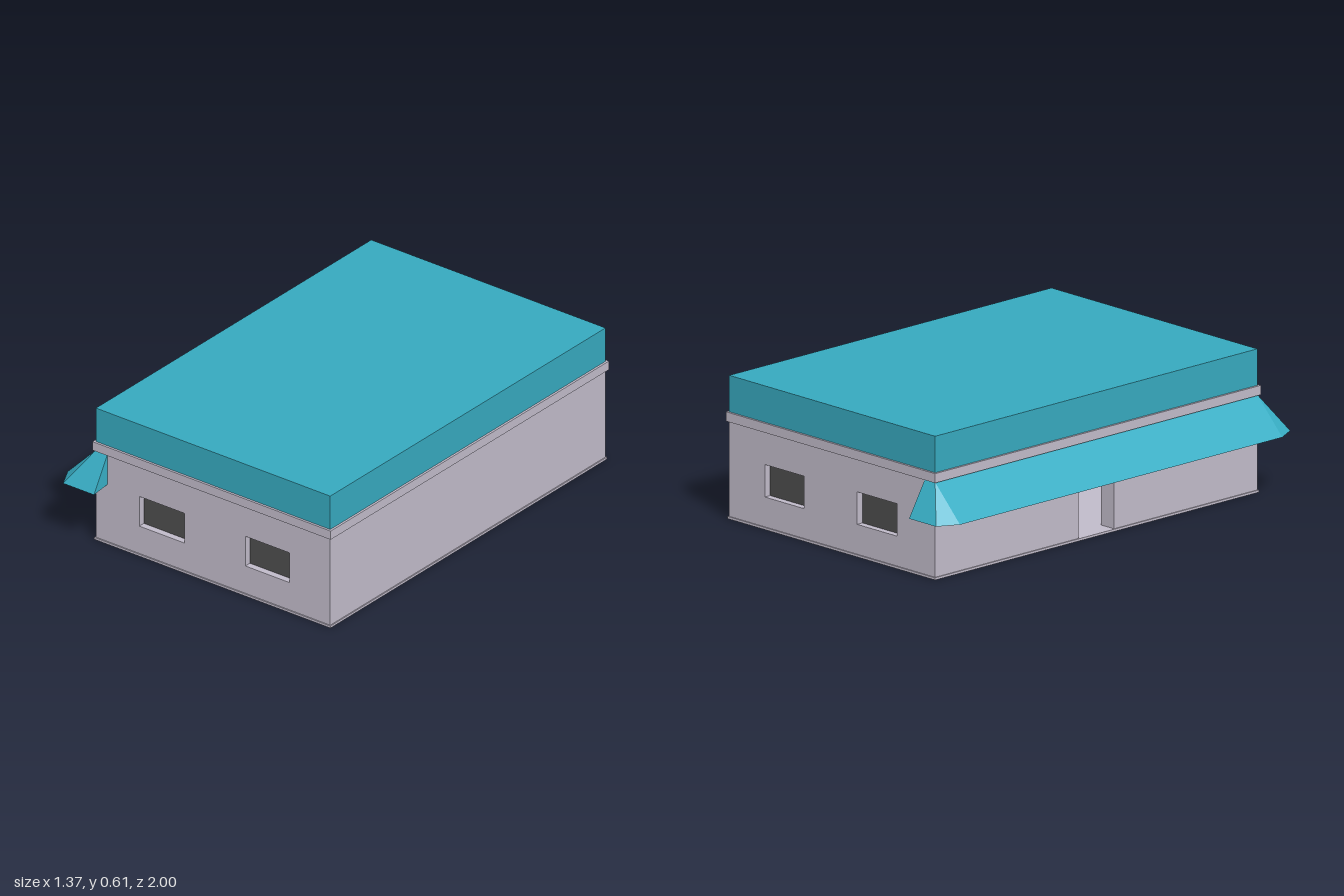
import * as THREE from 'three';

const WIDTH = 1.215, DEPTH = 1.82, CENTER_X = 0.0675;
const WALL_TOP = 0.415, BAND_TOP = 0.455, ROOF_TOP = 0.61, THICK = 0.075;

const material = (color, side = THREE.FrontSide) =>
  new THREE.MeshStandardMaterial({ color, side, flatShading: true });

export function createModel() {
  const house = new THREE.Group();
  house.name = 'house';
  const plaster = material(0xc0bac9);
  const teal = material(0x36a8be);
  const awningTeal = material(0x38aec5, THREE.DoubleSide);
  const glass = material(0x4d4d4d);

  const add = (name, geometry, mat, x = 0, y = 0, z = 0, parent = house) => {
    const mesh = new THREE.Mesh(geometry, mat);
    mesh.name = name;
    mesh.position.set(x, y, z);
    parent.add(mesh);
    return mesh;
  };
  const slab = (name, y0, y1, grow, mat) =>
    add(name, new THREE.BoxGeometry(WIDTH + 2 * grow, y1 - y0, DEPTH + 2 * grow), mat, CENTER_X, (y0 + y1) / 2);

  // Stacked slabs: floor, eave band and roof block
  slab('floor', 0, 0.01, 0.005, plaster);
  slab('eaveBand', WALL_TOP, BAND_TOP, 0.01, plaster);
  slab('roof', BAND_TOP, ROOF_TOP, 0, teal);

  const rectangle = (path, x0, y0, x1, y1) =>
    path.moveTo(x0, y0).lineTo(x1, y0).lineTo(x1, y1).lineTo(x0, y1).closePath();
  const extrude = (shape) => new THREE.ExtrudeGeometry(shape, { depth: THICK, bevelEnabled: false });

  // Front and back walls, each with two recessed windows
  const windows = [[-0.315, -0.08], [0.235, 0.465]];
  const sill = 0.137, head = 0.275;
  for (const [side, sign] of [['front', 1], ['back', -1]]) {
    const shape = new THREE.Shape();
    rectangle(shape, CENTER_X - WIDTH / 2, 0.01, CENTER_X + WIDTH / 2, WALL_TOP);
    for (const [x0, x1] of windows) {
      const hole = new THREE.Path();
      rectangle(hole, x0, sill, x1, head);
      shape.holes.push(hole);
      add(side + 'WindowPane', new THREE.BoxGeometry(x1 - x0, head - sill, 0.03), glass,
        (x0 + x1) / 2, (sill + head) / 2, sign * (DEPTH / 2 - 0.045));
    }
    add(side + 'Wall', extrude(shape), plaster, 0, 0, sign > 0 ? DEPTH / 2 - THICK : -DEPTH / 2);
  }

  // Plain left wall
  const inner = DEPTH / 2 - THICK;
  add('leftWall', new THREE.BoxGeometry(THICK, WALL_TOP - 0.01, 2 * inner), plaster,
    CENTER_X + WIDTH / 2 - THICK / 2, (WALL_TOP + 0.01) / 2);

  // Right wall, open at the doorway
  const doorHalf = 0.1, doorTop = 0.3;
  const doorWall = new THREE.Shape();
  doorWall.moveTo(-inner, 0.01).lineTo(-doorHalf, 0.01).lineTo(-doorHalf, doorTop)
    .lineTo(doorHalf, doorTop).lineTo(doorHalf, 0.01).lineTo(inner, 0.01)
    .lineTo(inner, WALL_TOP).lineTo(-inner, WALL_TOP).closePath();
  add('doorWall', extrude(doorWall), plaster, CENTER_X - WIDTH / 2).rotation.y = Math.PI / 2;

  // Sloping awning that wraps round both ends of the door side
  const awning = new THREE.Group();
  awning.name = 'awning';
  house.add(awning);
  const wallX = -0.54, endX = -0.48, low = 0.265, wallZ = DEPTH / 2;
  const panel = (name, corners) => {
    const geometry = new THREE.BufferGeometry();
    geometry.setAttribute('position', new THREE.Float32BufferAttribute(corners.flat(), 3));
    geometry.setIndex(corners.length === 4 ? [0, 1, 2, 0, 2, 3] : [0, 1, 2]);
    geometry.computeVertexNormals();
    add(name, geometry, awningTeal, 0, 0, 0, awning);
  };
  panel('awningSlope', [[wallX, WALL_TOP, -wallZ], [-0.687, low, -wallZ],
    [-0.687, low, wallZ], [wallX, WALL_TOP, wallZ]]);
  for (const s of [1, -1]) {
    const order = (list) => (s > 0 ? list : list.reverse());
    const top = [wallX, WALL_TOP, s * wallZ], corner = [-0.64, low, s];
    const endTop = [endX, WALL_TOP, s * wallZ], endLow = [endX, low, s];
    panel('awningCorner', order([top, [-0.687, low, s * wallZ], corner]));
    panel('awningReturn', order([top, corner, endLow, endTop]));
    panel('awningEnd', order([endTop, endLow, [endX, low + 0.01, s * wallZ]]));
  }
  return house;
}
